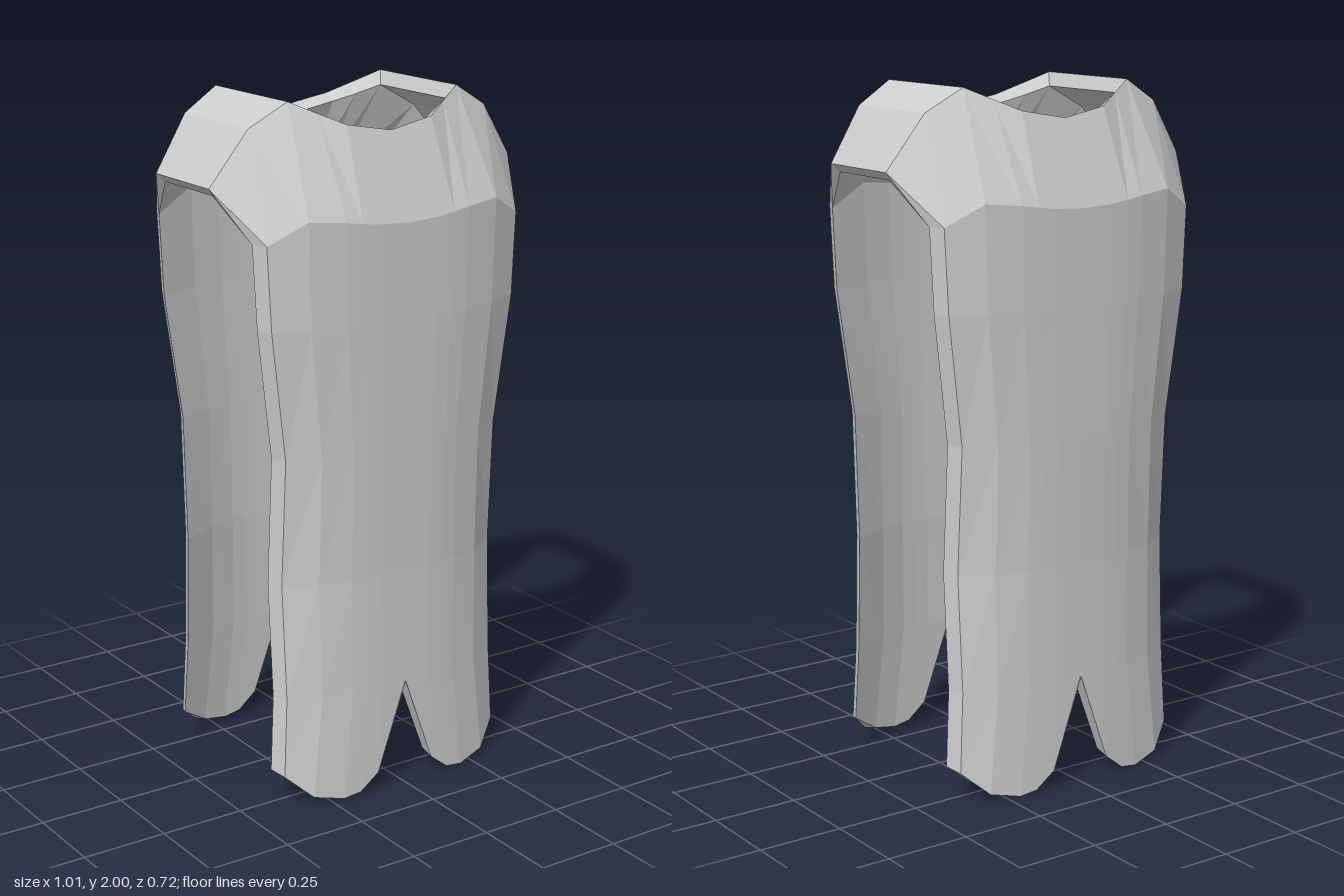
import * as THREE from 'three';

// One quarter of the garment (x > 0, z > 0) is described by rows of six
// points running from the centre line to the armhole edge, then mirrored.
const NECK = 3; // column of the neck corner
const V = (x, y, z) => new THREE.Vector3(x, y, z);

// neck and shoulder line, outside and inside
const collarOut = [V(0, 1.91, 0.268), V(0.14, 1.935, 0.26), V(0.21, 1.967, 0.222),
  V(0.282, 2, 0.185), V(0.395, 1.935, 0.166), V(0.505, 1.78, 0.141)];
const collarIn = [V(0, 1.89, 0.225), V(0.138, 1.915, 0.22), V(0.2, 1.935, 0.192),
  V(0.265, 1.96, 0.16), V(0.375, 1.895, 0.145), V(0.485, 1.757, 0.125)];

// panel rows: [height, half width, edge z, centre z]
const levels = [[1.67, 0.42, 0.293, 0.361], [1.4, 0.408, 0.295, 0.36], [1.03, 0.36, 0.285, 0.357],
  [0.66, 0.363, 0.265, 0.352], [0.32, 0.36, 0.283, 0.356], [0, 0.372, 0.288, 0.36]];
const across = [0, 0.235, 0.365, 0.49, 0.75, 1]; // column spread
const curve = [0, 0.01, 0.05, 0.11, 0.38, 1]; // how far each column falls back
const chestLift = [0, 0.005, 0.012, 0.02, 0.03, -0.03];
const hemX = [0, 0.095, 0.155, 0.21, 0.3, 0.372];
const hemY = [0.32, 0.055, 0.008, 0, 0.02, 0.085];

const outer = [collarOut], inner = [collarIn];
levels.forEach(([y, w, edge, mid], r) => {
  const hem = r === levels.length - 1;
  const row = across.map((a, j) => V(
    hem ? hemX[j] : a * w,
    hem ? hemY[j] : y + (r === 0 ? chestLift[j] : 0),
    mid + (edge - mid) * curve[j]));
  outer.push(row);
  inner.push(row.map((p, j) => V(
    p.x + (j === 5 ? 0.018 : j === 4 ? -0.008 : 0),
    p.y + (hem && j > 0 ? 0.012 : 0),
    p.z - 0.045)));
});

const flat = (p) => V(p.x, p.y, 0);
const outerTop = collarOut.map(flat), innerTop = collarIn.map(flat);

// quads between two rows, or the reverse side of them
function strip(quads, top, bottom, from = 0, reverse = false) {
  for (let j = from; j < top.length - 1; j++) {
    const q = [top[j], bottom[j], bottom[j + 1], top[j + 1]];
    quads.push(reverse ? q.reverse() : q);
  }
}

// mirror the quarter in x and z, keeping the faces turned outwards
function mirrored(name, quads, material) {
  const pos = [];
  for (const sx of [1, -1]) for (const sz of [1, -1]) {
    for (const [a, b, c, d] of quads) {
      for (const tri of [[a, b, c], [a, c, d]]) {
        if (tri[0].equals(tri[1]) || tri[1].equals(tri[2]) || tri[0].equals(tri[2])) continue;
        if (sx * sz < 0) tri.reverse();
        for (const p of tri) pos.push(p.x * sx, p.y, p.z * sz);
      }
    }
  }
  const geo = new THREE.BufferGeometry();
  geo.setAttribute('position', new THREE.Float32BufferAttribute(pos, 3));
  geo.computeVertexNormals();
  const mesh = new THREE.Mesh(geo, material);
  mesh.name = name;
  return mesh;
}

export function createModel() {
  const cloth = new THREE.MeshStandardMaterial({ color: 0xcccccc, flatShading: true });
  cloth.name = 'grey cloth';
  const group = new THREE.Group();
  group.name = 'tabard';

  // shoulders and the sloping yoke below the neck
  const yoke = [];
  strip(yoke, outerTop, collarOut, NECK);
  strip(yoke, outer[0], outer[1]);

  // front and back panels with forked hem
  const panels = [];
  for (let r = 1; r < outer.length - 1; r++) strip(panels, outer[r], outer[r + 1]);

  // inside faces
  const lining = [];
  strip(lining, innerTop, collarIn, NECK, true);
  for (let r = 0; r < inner.length - 1; r++) strip(lining, inner[r], inner[r + 1], 0, true);

  // neck edge
  const neck = [];
  strip(neck, collarIn.slice(0, NECK + 1), collarOut.slice(0, NECK + 1));
  neck.push([innerTop[NECK], collarIn[NECK], collarOut[NECK], outerTop[NECK]]);

  // armhole and side edges
  const sides = [[outerTop[5], collarOut[5], collarIn[5], innerTop[5]]];
  for (let r = 0; r < outer.length - 1; r++) {
    sides.push([outer[r][5], outer[r + 1][5], inner[r + 1][5], inner[r][5]]);
  }

  // bottom edge
  const hem = [];
  strip(hem, outer[outer.length - 1], inner[inner.length - 1]);

  const parts = { yoke, panels, lining, neckEdge: neck, sideEdges: sides, hemEdge: hem };
  for (const [name, quads] of Object.entries(parts)) group.add(mirrored(name, quads, cloth));
  return group;
}
